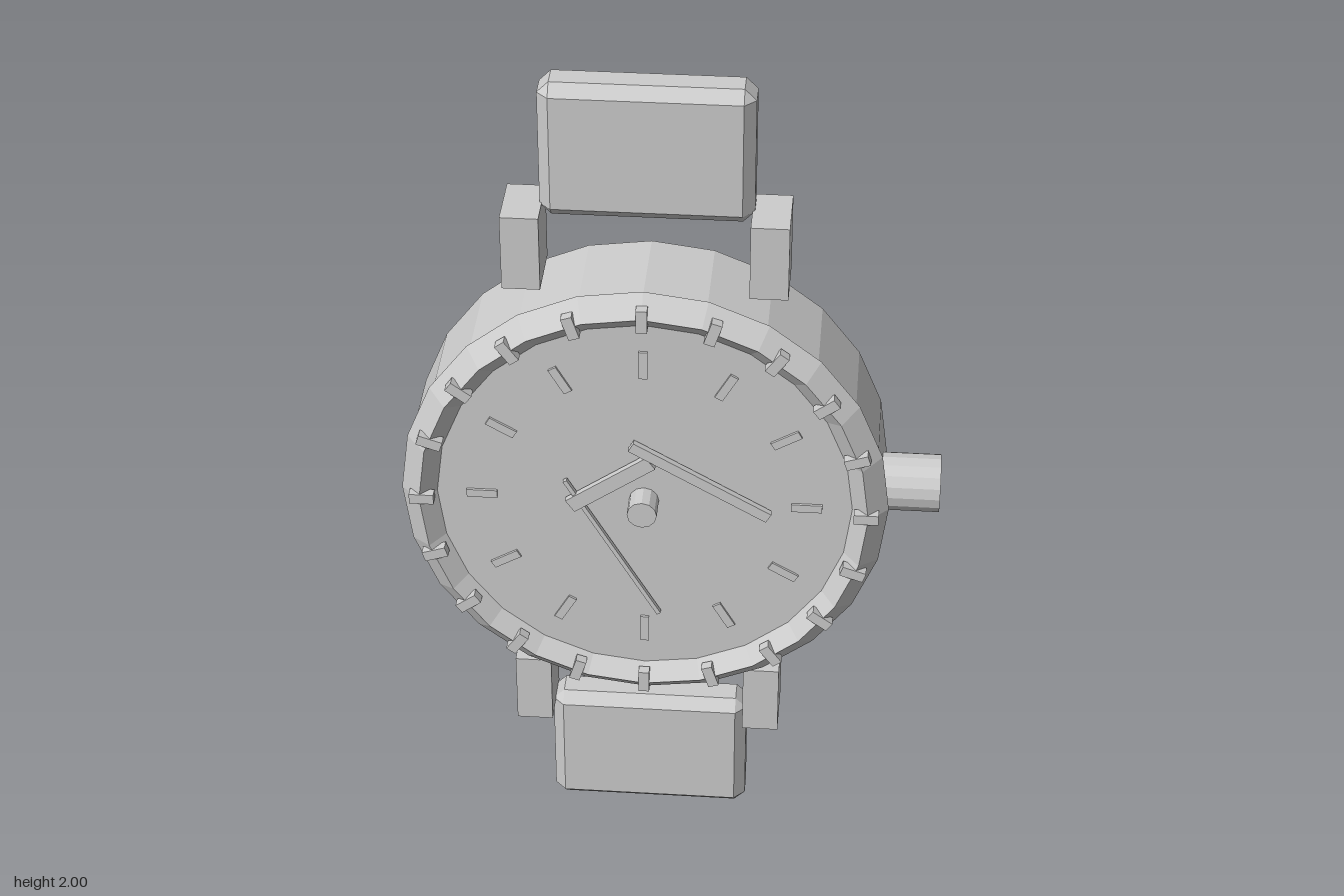
import * as THREE from 'three';
import { ConvexGeometry } from 'three/addons/geometries/ConvexGeometry.js';

const CX = -0.06, CY = 1; // centre of the watch face

export function createModel() {
  const watch = new THREE.Group();
  watch.name = 'wristwatch';
  const grey = new THREE.MeshStandardMaterial({ color: 0xcccccc, flatShading: true });
  grey.name = 'plain grey';

  const add = (name, geometry, x, y, z, turn = 0, parent = watch) => {
    const mesh = new THREE.Mesh(geometry, grey);
    mesh.name = name;
    mesh.position.set(x, y, z);
    mesh.rotation.z = turn;
    parent.add(mesh);
    return mesh;
  };

  // Round disc facing z, from zBack to zFront
  const disc = (name, radius, zBack, zFront, sides = 24) =>
    add(name, new THREE.CylinderGeometry(radius, radius, zFront - zBack, sides).rotateX(Math.PI / 2),
      CX, CY, (zBack + zFront) / 2);

  // Box with one flat chamfer on every edge
  const chamferBox = (w, h, d, c) => {
    const points = [];
    for (const sx of [-1, 1]) for (const sy of [-1, 1]) for (const sz of [-1, 1])
      for (let axis = 0; axis < 3; axis++) {
        const inset = [c, c, c];
        inset[axis] = 0;
        points.push(new THREE.Vector3(
          sx * (w / 2 - inset[0]), sy * (h / 2 - inset[1]), sz * (d / 2 - inset[2])));
      }
    return new ConvexGeometry(points);
  };

  // Case, back plate, dial and diamond-section bezel
  disc('case', 0.545, -0.132, 0.08);
  disc('backPlate', 0.49, -0.163, -0.132);
  disc('dial', 0.475, 0.08, 0.103);
  add('bezel', new THREE.TorusGeometry(0.51, 0.045, 4, 24), CX, CY, 0.095);

  // Studs round the bezel
  const studs = new THREE.Group();
  studs.name = 'bezelStuds';
  watch.add(studs);
  const studGeometry = new THREE.BoxGeometry(0.056, 0.025, 0.024);
  for (let i = 0; i < 20; i++) {
    const a = i * Math.PI / 10;
    add('bezelStud', studGeometry, CX + 0.505 * Math.cos(a), CY + 0.505 * Math.sin(a), 0.13, a, studs);
  }

  // Thin hour marks on the dial
  const marks = new THREE.Group();
  marks.name = 'hourMarks';
  watch.add(marks);
  const markGeometry = new THREE.BoxGeometry(0.07, 0.02, 0.008);
  for (let i = 0; i < 12; i++) {
    const a = i * Math.PI / 6;
    add('hourMark', markGeometry, CX + 0.37 * Math.cos(a), CY + 0.37 * Math.sin(a), 0.105, a, marks);
  }

  // Hands and centre hub
  const deg = Math.PI / 180;
  add('hourHand', new THREE.BoxGeometry(0.225, 0.036, 0.016), -0.135, 1.053, 0.118, 35 * deg);
  add('minuteHand', new THREE.BoxGeometry(0.36, 0.025, 0.016), 0.069, 1.072, 0.121, -30 * deg);
  add('secondHand', new THREE.BoxGeometry(0.425, 0.01, 0.012), -0.132, 0.87, 0.115, -60 * deg);
  disc('hub', 0.034, 0.1, 0.163, 12);

  // Crown on the side of the case
  add('crown', new THREE.CylinderGeometry(0.067, 0.067, 0.15, 16).rotateZ(Math.PI / 2), 0.535, CY, -0.015);

  // Strap pieces and lugs, mirrored above and below
  const strapGeometry = chamferBox(0.47, 0.325, 0.106, 0.026);
  const lugGeometry = new THREE.BoxGeometry(0.085, 0.18, 0.144);
  for (const up of [1, -1]) {
    const end = up > 0 ? 'upper' : 'lower';
    add(end + 'Strap', strapGeometry, CX, CY + up * 0.8375, -0.044);
    for (const side of [1, -1])
      add(end + (side > 0 ? 'Left' : 'Right') + 'Lug', lugGeometry,
        CX + side * 0.272, CY + up * 0.614, -0.015);
  }
  return watch;
}
